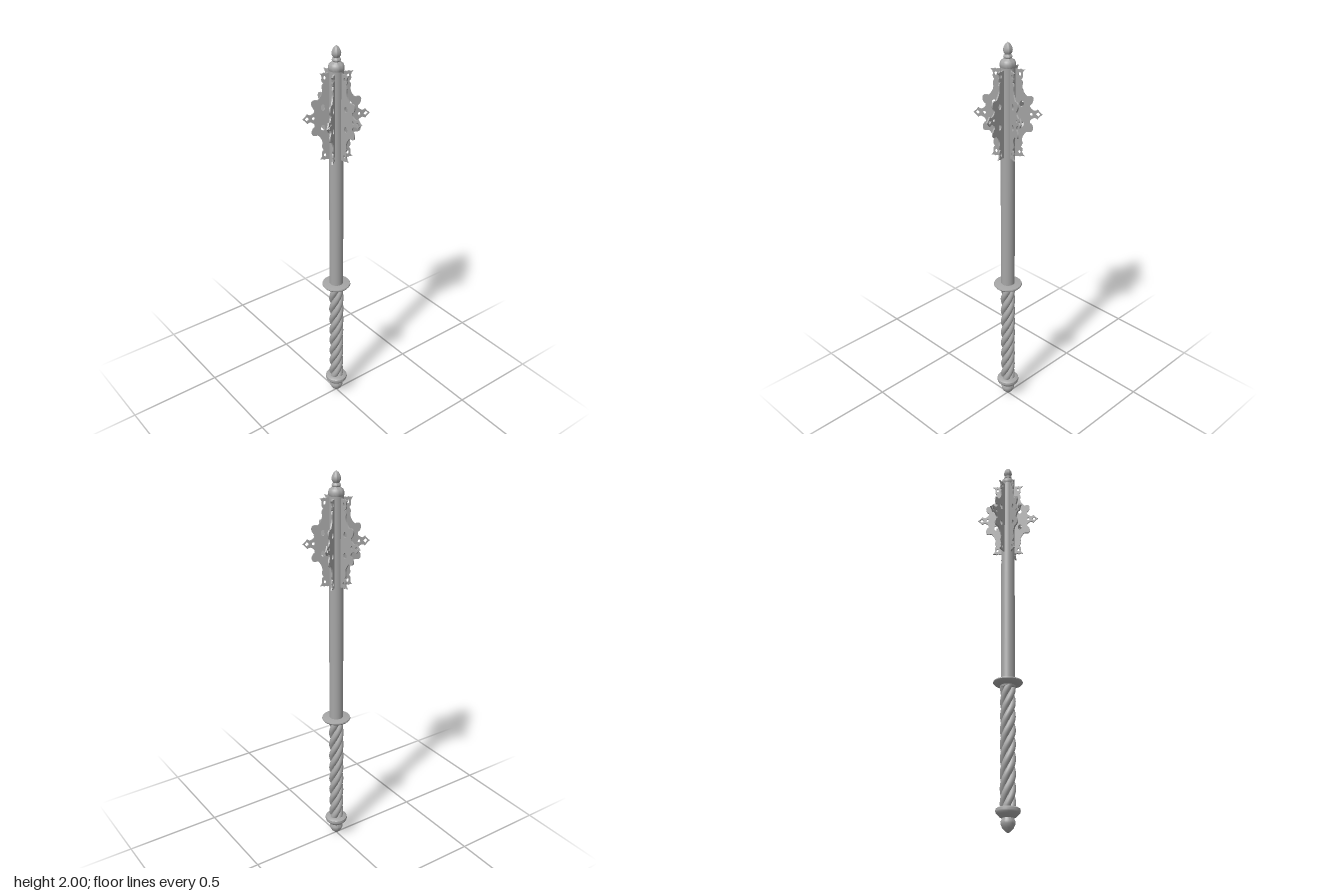
import * as THREE from 'three';
import { toCreasedNormals } from 'three/addons/utils/BufferGeometryUtils.js';

const steel = new THREE.MeshStandardMaterial({ color: 0xa6a6a6 });
steel.name = 'steel';

function addMesh(parent, name, geometry) {
  const mesh = new THREE.Mesh(geometry, steel);
  mesh.name = name;
  parent.add(mesh);
  return mesh;
}

// Turned part from [radius, height] pairs, bottom to top
function turned(profile) {
  const points = profile.map(([r, y]) => new THREE.Vector2(r, y));
  return toCreasedNormals(new THREE.LatheGeometry(points, 32), 0.75);
}

// Pierced flange, symmetric above and below its middle, x is the distance from the axis
function flangeGeometry() {
  const half = new THREE.Shape();
  half.moveTo(0.161, 0);
  half.quadraticCurveTo(0.148, 0.008, 0.138, 0.024);
  half.quadraticCurveTo(0.128, 0.012, 0.116, 0.02);
  half.quadraticCurveTo(0.098, 0.03, 0.104, 0.045);
  half.bezierCurveTo(0.117, 0.05, 0.125, 0.082, 0.108, 0.087);
  half.bezierCurveTo(0.092, 0.09, 0.09, 0.078, 0.078, 0.098);
  half.quadraticCurveTo(0.062, 0.12, 0.068, 0.142);
  half.quadraticCurveTo(0.07, 0.155, 0.06, 0.164);
  half.quadraticCurveTo(0.072, 0.172, 0.068, 0.187);
  half.quadraticCurveTo(0.066, 0.2, 0.079, 0.212);
  half.quadraticCurveTo(0.066, 0.207, 0.058, 0.215);
  half.quadraticCurveTo(0.052, 0.207, 0.044, 0.213);
  half.lineTo(0.025, 0.213);
  const upper = half.getPoints(8);
  const lower = upper.slice(1).reverse().map((p) => new THREE.Vector2(p.x, -p.y));
  const shape = new THREE.Shape([...lower, ...upper]);

  const hole = (x, y, rx, ry, sides) => {
    const ring = [];
    for (let i = 0; i < sides; i++) {
      const a = (-i / sides) * Math.PI * 2;
      ring.push(new THREE.Vector2(x + rx * Math.cos(a), y + ry * Math.sin(a)));
    }
    shape.holes.push(new THREE.Path(ring));
  };
  hole(0.14, 0, 0.011, 0.011, 4);
  hole(0.109, 0, 0.007, 0.008, 12);
  for (const s of [-1, 1]) {
    hole(0.064, s * 0.05, 0.01, 0.015, 16);
    hole(0.055, s * 0.19, 0.006, 0.009, 12);
  }
  const geometry = new THREE.ExtrudeGeometry(shape, { depth: 0.007, bevelEnabled: false });
  geometry.translate(0, 0, -0.0035);
  return toCreasedNormals(geometry, 0.6);
}

export function createModel() {
  const mace = new THREE.Group();
  mace.name = 'mace';

  // Pommel with pointed bud and rounded disc
  addMesh(mace, 'pommel', turned([
    [0, 0], [0.012, 0.007], [0.026, 0.022], [0.034, 0.04], [0.035, 0.052], [0.029, 0.062],
    [0.028, 0.067], [0.04, 0.073], [0.048, 0.083], [0.056, 0.09], [0.059, 0.1],
    [0.057, 0.109], [0.048, 0.115], [0.036, 0.117], [0, 0.12],
  ]));

  // Rope grip: four strands wound around the axis
  const grip = new THREE.Group();
  grip.name = 'grip';
  mace.add(grip);
  const bottom = 0.1, top = 0.72, turns = 2.2;
  for (let s = 0; s < 4; s++) {
    const path = [];
    for (let i = 0; i <= 60; i++) {
      const a = -(i / 60) * turns * Math.PI * 2 + (s * Math.PI) / 2;
      path.push(new THREE.Vector3(
        0.021 * Math.cos(a), bottom + (top - bottom) * (i / 60), 0.021 * Math.sin(a)));
    }
    const curve = new THREE.CatmullRomCurve3(path);
    addMesh(grip, 'gripStrand', new THREE.TubeGeometry(curve, 120, 0.017, 12));
  }

  // Guard disc between grip and shaft
  addMesh(mace, 'guard', turned([
    [0, 0.7], [0.036, 0.7], [0.038, 0.71], [0.05, 0.714], [0.068, 0.72],
    [0.073, 0.727], [0.071, 0.733], [0.062, 0.735], [0, 0.737],
  ]));

  // Shaft
  const shaft = addMesh(mace, 'shaft', new THREE.CylinderGeometry(0.035, 0.035, 1.16, 32));
  shaft.position.y = 1.31;

  // Six flanges around the head
  const head = new THREE.Group();
  head.name = 'head';
  head.position.y = 1.665;
  mace.add(head);
  const flange = flangeGeometry();
  for (let i = 0; i < 6; i++) {
    addMesh(head, 'flange', flange).rotation.y = -THREE.MathUtils.degToRad(22 + i * 60);
  }

  // Finial with collar and pointed bud
  addMesh(mace, 'finial', turned([
    [0, 1.882], [0.033, 1.882], [0.037, 1.89], [0.037, 1.904], [0.033, 1.915], [0.023, 1.922],
    [0.018, 1.927], [0.021, 1.933], [0.019, 1.94], [0.014, 1.945], [0.02, 1.954],
    [0.022, 1.964], [0.019, 1.977], [0.011, 1.991], [0, 2],
  ]));

  return mace;
}
